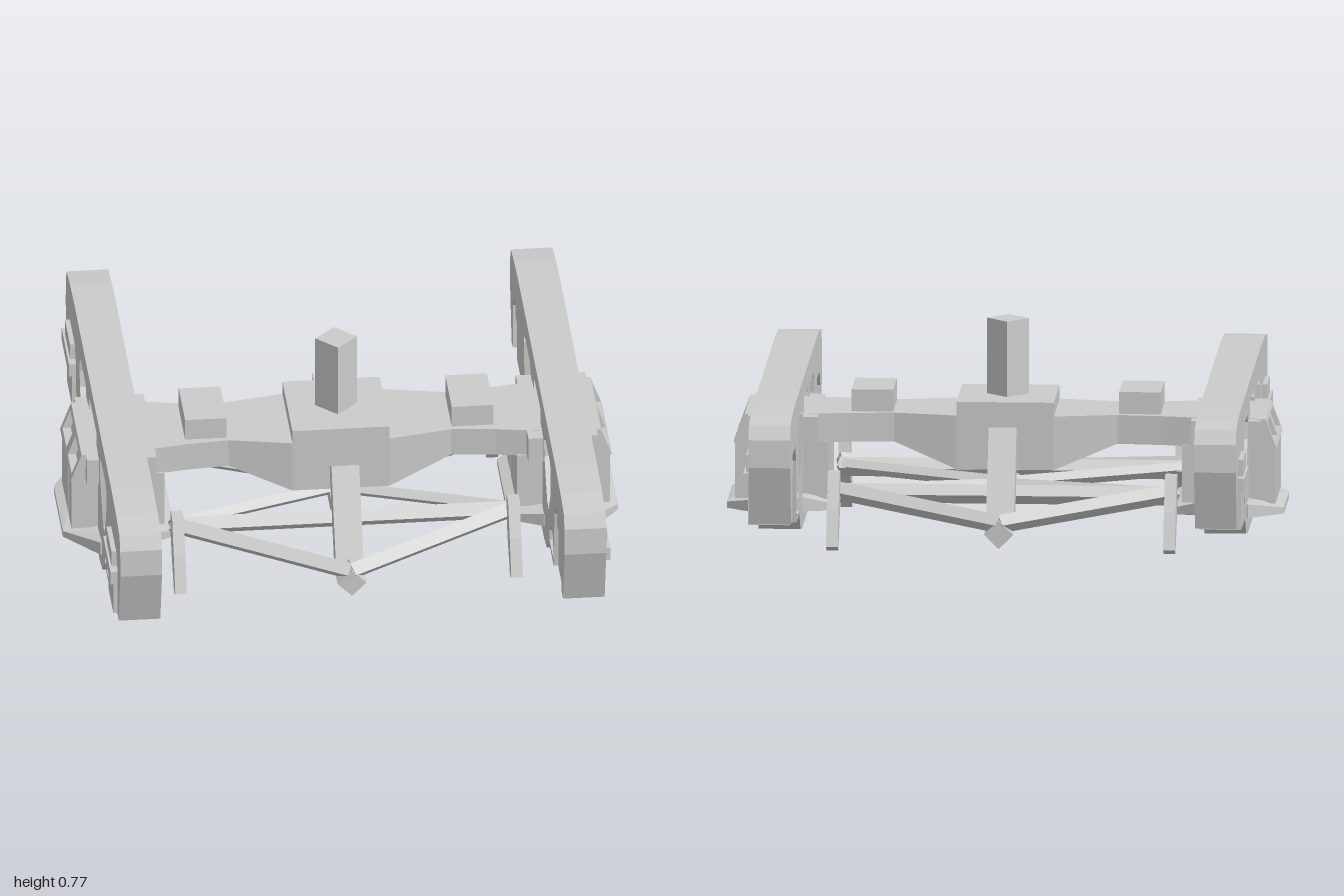
import * as THREE from 'three';

const mat = new THREE.MeshStandardMaterial({ color: 0xcccccc, flatShading: true });

function add(parent, name, geo) {
  const m = new THREE.Mesh(geo, mat);
  m.name = name;
  parent.add(m);
  return m;
}

// Box given by its limits on each axis
function box(parent, name, x0, x1, y0, y1, z0, z1) {
  const g = new THREE.BoxGeometry(x1 - x0, y1 - y0, z1 - z0);
  g.translate((x0 + x1) / 2, (y0 + y1) / 2, (z0 + z1) / 2);
  return add(parent, name, g);
}

const toPts = (a) => a.map(([u, v]) => new THREE.Vector2(u, v));

// Plate drawn in the (z, y) plane, spanning x0..x1
function plate(pts, x0, x1, holes = []) {
  const s = new THREE.Shape(toPts(pts));
  holes.forEach((h) => s.holes.push(new THREE.Path(toPts(h))));
  const g = new THREE.ExtrudeGeometry(s, { depth: x1 - x0, bevelEnabled: false });
  g.rotateY(-Math.PI / 2);
  g.translate(x1, 0, 0);
  return g;
}

// Straight bar between two points: diamond section, or flat when w and t are given
function bar(parent, name, a, b, r, w, t) {
  const A = new THREE.Vector3(...a), B = new THREE.Vector3(...b), len = A.distanceTo(B);
  const g = w ? new THREE.BoxGeometry(w, t, len) : new THREE.CylinderGeometry(r, r, len, 4).rotateX(Math.PI / 2);
  const m = add(parent, name, g);
  m.position.copy(A).add(B).multiplyScalar(0.5);
  m.lookAt(B);
  return m;
}

const mirror = (a) => a.concat(a.map(([z, y]) => [-z, y]).reverse());
const flip = (a) => a.map(([z, y]) => [-z, y]);
const rect = (z0, z1, y0, y1) => [[z0, y0], [z1, y0], [z1, y1], [z0, y1]];

// Cast side frame with windows, journal boxes, spring seat and springs
function sideAssembly() {
  const side = new THREE.Group();
  const half = [
    [0.66, 0.575], [0.84, 0.567], [0.96, 0.55], [0.985, 0.5], [0.99, 0.4], [0.93, 0.185], [0.88, 0.19],
    [0.89, 0.36], [0.84, 0.42], [0.66, 0.42], [0.62, 0.36], [0.595, 0.13], [0.42, 0.13], [0.34, 0.06], [0.25, 0.045],
  ];
  const window = [
    [0.48, 0.46], [0.45, 0.48], [0.275, 0.48], [0.245, 0.45], [0.255, 0.39],
    [0.36, 0.26], [0.41, 0.255], [0.475, 0.35], [0.485, 0.41],
  ];
  const gap = [[0.575, 0.235], [0.5, 0.245], [0.44, 0.19], [0.44, 0.15], [0.58, 0.15]];
  const opening = mirror([[0.12, 0.5], [0.12, 0.45], [0.18, 0.45], [0.18, 0.13]]);
  add(side, 'sideFrame', plate(mirror(half), 0.725, 0.875, [window, flip(window), gap, flip(gap), opening]));

  for (const s of [-1, 1]) {
    const span = (a, b) => (s > 0 ? [a, b] : [-b, -a]);
    box(side, 'journalBox', 0.735, 0.885, 0.165, 0.42, ...span(0.66, 0.84));
    box(side, 'bearingAdapter', 0.735, 0.9, 0.31, 0.36, ...span(0.62, 0.885));
    box(side, 'adapterLip', 0.735, 0.892, 0.36, 0.42, ...span(0.66, 0.84));
  }

  // Spring seat, sloping down away from the frame
  const seat = new THREE.ExtrudeGeometry(new THREE.Shape(toPts([
    [1, -0.165], [1, 0.165], [0.88, 0.33], [0.72, 0.28], [0.6, 0.2], [0.6, -0.2], [0.72, -0.28], [0.88, -0.33],
  ])), { depth: 1, bevelEnabled: false }).rotateX(Math.PI / 2);
  const p = seat.attributes.position;
  for (let i = 0; i < p.count; i++) {
    const d = Math.max(0, Math.abs(p.getX(i) - 0.8) - 0.08);
    p.setY(i, p.getY(i) > -0.5 ? 0.165 - d * 0.33 : 0.115 - d * 0.1);
  }
  add(side, 'springSeat', seat);

  for (const z of [-0.12, 0, 0.12])
    for (const x of [0.715, 0.89])
      box(side, 'spring', x - 0.08, x + 0.08, 0.14, 0.35, z - 0.053, z + 0.053);

  // Bolster guides and pocketed bolster end
  box(side, 'outerGuide', 0.876, 0.92, 0.35, 0.449, -0.23, 0.23);
  box(side, 'innerGuide', 0.67, 0.724, 0.35, 0.449, -0.23, 0.23);
  const end = plate(rect(-0.19, 0.19, 0.345, 0.45), 0.9, 0.935,
    [rect(-0.165, -0.025, 0.362, 0.435), rect(0.025, 0.165, 0.362, 0.435)]);
  const e = end.attributes.position;
  for (let i = 0; i < e.count; i++) e.setX(i, e.getX(i) + (0.45 - e.getY(i)) * 0.38);
  add(side, 'bolsterEnd', end);
  box(side, 'sideBearing', 0.405, 0.555, 0.45, 0.53, -0.115, 0.115);
  return side;
}

// Bolster lofted through rectangular sections: [xTop, xBottom, yBottom, halfDepth]
function bolsterGeometry() {
  const half = [[0.175, 0.175, 0.255, 0.18], [0.4, 0.4, 0.345, 0.135], [0.56, 0.56, 0.345, 0.15],
    [0.72, 0.72, 0.345, 0.178], [0.905, 0.945, 0.345, 0.178]];
  const rows = [...half.map(([a, b, y, z]) => [-a, -b, y, z]).reverse(), ...half];
  const v = [], idx = [];
  rows.forEach(([a, b, y, z]) => v.push(a, 0.45, z, a, 0.45, -z, b, y, -z, b, y, z));
  for (let r = 0; r < rows.length - 1; r++)
    for (let k = 0; k < 4; k++) {
      const a = r * 4 + k, b = r * 4 + ((k + 1) % 4);
      idx.push(a, a + 4, b, b, a + 4, b + 4);
    }
  const n = (rows.length - 1) * 4;
  idx.push(0, 1, 2, 0, 2, 3, n, n + 2, n + 1, n, n + 3, n + 2);
  const g = new THREE.BufferGeometry();
  g.setAttribute('position', new THREE.Float32BufferAttribute(v, 3));
  g.setIndex(idx);
  g.computeVertexNormals();
  return g;
}

// Triangular brake beam with hangers, lever and strut
function brakeBeam() {
  const beam = new THREE.Group();
  bar(beam, 'crossBar', [-0.62, 0.18, 0.26], [0.62, 0.18, 0.26], 0.035);
  for (const s of [-1, 1]) {
    bar(beam, 'trussBar', [s * 0.62, 0.195, 0.275], [0, 0.125, 0.555], 0.034);
    bar(beam, 'innerTrussBar', [s * 0.62, 0.185, 0.26], [0, 0.17, 0.02], 0.025);
    add(beam, 'brakeHead', plate([
      [0.31, 0.27], [0.29, 0.2], [0.35, 0.1], [0.43, 0], [0.475, 0.02], [0.42, 0.15], [0.36, 0.27],
    ], s * 0.605 - 0.021, s * 0.605 + 0.021));
  }
  bar(beam, 'lever', [0, 0.42, 0.305], [0, 0.1, 0.47], 0, 0.1, 0.075);
  bar(beam, 'strut', [0, 0.09, 0.46], [0, 0.09, 0.58], 0.052);
  return beam;
}

export function createModel() {
  const model = new THREE.Group();
  model.name = 'railTruck';

  [0, Math.PI].forEach((turn, i) => {
    const side = sideAssembly();
    side.name = i ? 'rightSide' : 'leftSide';
    side.rotation.y = turn;
    const beam = brakeBeam();
    beam.name = i ? 'backBrakeBeam' : 'frontBrakeBeam';
    beam.rotation.y = turn;
    model.add(side, beam);
  });

  // Bolster with centre plate and king pin
  add(model, 'bolster', bolsterGeometry());
  box(model, 'centrePlate', -0.175, 0.175, 0.44, 0.5, -0.18, 0.18);
  const pin = add(model, 'kingPin', new THREE.CylinderGeometry(0.075, 0.075, 0.285, 4));
  pin.position.y = 0.6325;

  // Rod joining the two brake levers
  box(model, 'connectingRod', -0.028, 0.028, 0.11, 0.165, -0.47, 0.47);
  return model;
}
